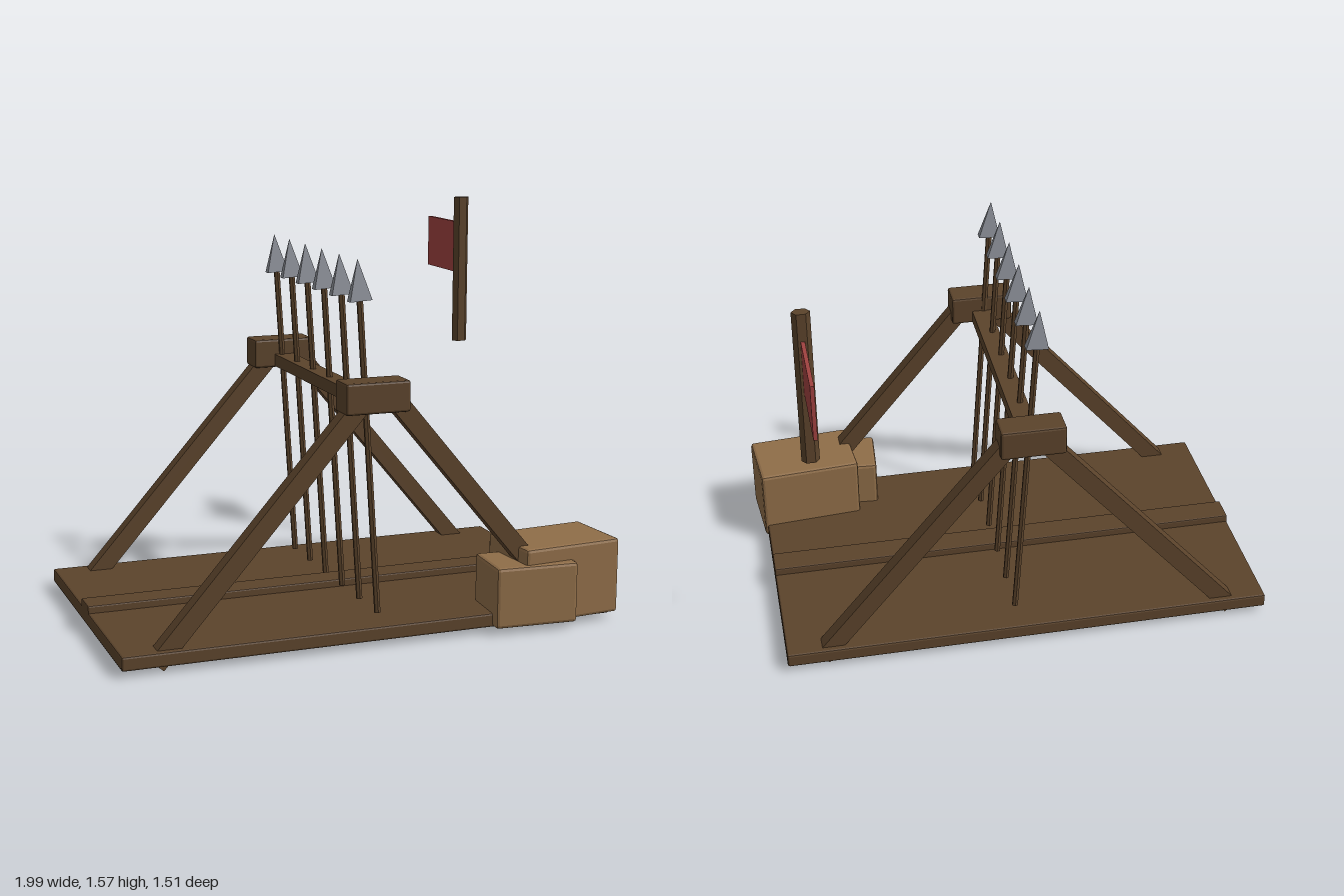
import * as THREE from 'three';
import { RoundedBoxGeometry } from 'three/addons/geometries/RoundedBoxGeometry.js';

const material = (name, color) => {
  const m = new THREE.MeshStandardMaterial({ color });
  m.name = name;
  return m;
};

export function createModel() {
  const root = new THREE.Group();
  root.name = 'spearRack';
  const wood = material('dark wood', 0x5b432b);
  const crateWood = material('pale crate wood', 0x8f6d48);
  const steel = material('steel', 0x8c9098);
  const cloth = material('red cloth', 0xa04240);

  const add = (name, geometry, mat, x, y, z, parent = root) => {
    const mesh = new THREE.Mesh(geometry, mat);
    mesh.name = name;
    mesh.position.set(x, y, z);
    parent.add(mesh);
    return mesh;
  };
  // Box with a flat chamfer on every edge
  const chamferBox = (w, h, d, bevel) => {
    const g = new RoundedBoxGeometry(w, h, d, 1, bevel);
    g.computeVertexNormals();
    return g;
  };
  // Faceted cylinder or cone, squashed in z
  const prism = (top, bottom, height, sides, squash, turn = 0) => {
    const g = new THREE.CylinderGeometry(top, bottom, height, sides);
    g.rotateY(turn);
    g.scale(1, 1, squash);
    const flat = g.toNonIndexed();
    flat.computeVertexNormals();
    return flat;
  };

  // Floor and its raised centre plank
  add('platform', chamferBox(1.96, 0.055, 1.17, 0.008), wood, -0.02, 0.0525, 0.095);
  add('centrePlank', chamferBox(1.96, 0.05, 0.115, 0.006), wood, -0.02, 0.085, 0.094);

  // Two A-frames with sloping legs and a cap block
  const leg = (name, footX, topX, z) => {
    const foot = new THREE.Vector2(footX, 0.024);
    const top = new THREE.Vector2(topX, 0.95);
    const d = top.clone().sub(foot);
    const mesh = add(name, new THREE.BoxGeometry(0.07, d.length(), 0.06), wood,
      (footX + topX) / 2, (foot.y + top.y) / 2, z);
    mesh.rotation.z = -Math.atan2(d.x, d.y);
  };
  for (const [side, legZ, capZ] of [['front', 0.625, 0.622], ['back', -0.435, -0.435]]) {
    leg(side + 'RightLeg', -0.865, -0.051, legZ);
    leg(side + 'LeftLeg', 0.82, 0.048, legZ);
    add(side + 'CapBlock', chamferBox(0.254, 0.118, 0.118, 0.009), wood, -0.021, 0.951, capZ);
  }
  add('ridgeBeam', new THREE.BoxGeometry(0.08, 0.05, 1.0), wood, -0.02, 0.922, 0.095);

  // Row of leaning spears
  const shaft = prism(0.0125, 0.0125, 1.21, 6, 0.85);
  const head = prism(0, 0.0615, 0.155, 4, 0.4, Math.PI / 4);
  for (let i = 0; i < 6; i++) {
    const spear = new THREE.Group();
    spear.name = 'spear' + (i + 1);
    spear.position.set(0.025, 0.098, 0.565 - i * 0.187);
    spear.rotation.z = 0.065;
    add('spearShaft', shaft, wood, 0, 0.605, 0, spear);
    add('spearHead', head, steel, 0, 1.277, 0, spear);
    root.add(spear);
  }

  // Flag pole and flag
  add('flagPole', prism(0.034, 0.034, 0.625, 6, 0.72, Math.PI / 6), wood, 0.81, 1.2625, -0.432);
  add('flag', new THREE.BoxGeometry(0.015, 0.218, 0.32), cloth, 0.81, 1.356, -0.6);

  // Two crates at the front corner
  add('largeCrate', chamferBox(0.42, 0.3, 0.29, 0.013), crateWood, 0.773, 0.178, 0.558).rotation.y = 0.085;
  add('smallCrate', chamferBox(0.334, 0.24, 0.235, 0.013), crateWood, 0.625, 0.148, 0.618).rotation.y = -0.065;

  return root;
}
